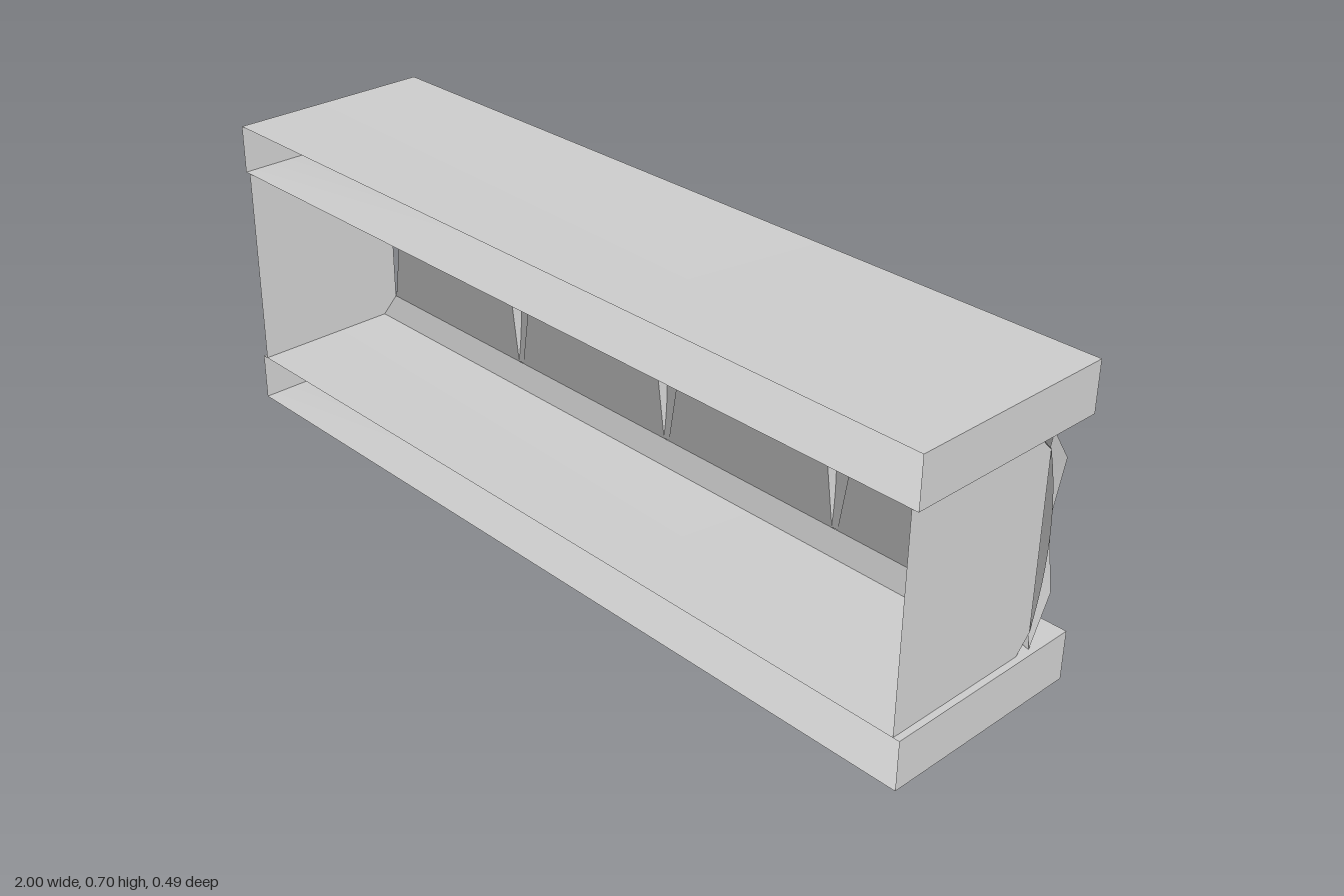
import * as THREE from 'three';

const MAT = new THREE.MeshStandardMaterial({ color: 0xcccccc, side: THREE.DoubleSide });
const MID = 0.351, WALL_Z = -0.143, END_X = 0.985;

function add(parent, name, geometry) {
  const mesh = new THREE.Mesh(geometry, MAT);
  mesh.name = name;
  parent.add(mesh);
  return mesh;
}

// Smooth sheet through a grid of points; at(u, v) returns [x, y, z]
function sheet(us, vs, at) {
  const pos = [], index = [], n = us.length;
  vs.forEach((v) => us.forEach((u) => pos.push(...at(u, v))));
  for (let j = 0; j < vs.length - 1; j++) {
    for (let i = 0; i < n - 1; i++) {
      const a = j * n + i;
      index.push(a, a + n, a + 1, a + 1, a + n, a + n + 1);
    }
  }
  const g = new THREE.BufferGeometry();
  g.setAttribute('position', new THREE.Float32BufferAttribute(pos, 3));
  g.setIndex(index);
  g.computeVertexNormals();
  return g;
}

function polygon(points) {
  return new THREE.ShapeGeometry(new THREE.Shape(points.map((p) => new THREE.Vector2(...p))));
}

// Long channel, open to the front, with closed ends
function beam(name, y0, y1) {
  const group = new THREE.Group();
  group.name = name;
  const profile = [[y1, 0.247], [y1, -0.245], [y0, -0.245], [y0, 0.247]];
  add(group, name + 'Channel', sheet([-1, 1], profile, (u, p) => [u, ...p]));
  for (const s of [-1, 1]) {
    const end = add(group, name + 'End', new THREE.PlaneGeometry(0.492, y1 - y0));
    end.rotation.y = s * Math.PI / 2;
    end.position.set(s, (y0 + y1) / 2, 0.001);
  }
  return group;
}

// Cushion outline: edges are drawn in between the corners
const ROWS = [-1, -0.62, 0, 0.62, 1];
const COLS = Array.from({ length: 13 }, (_, i) => i / 6 - 1);
const edgeX = (u, v) => u * (0.245 - 0.035 * (1 - Math.abs(v)));
const edgeY = (u, v) => MID + v * (0.239 - 0.04 * (1 - u * u));

function cushion(x) {
  const group = new THREE.Group();
  group.name = 'cushion';
  group.position.x = x;
  const depth = (u, v) => {
    if (Math.abs(v) === 1) return WALL_Z;
    return -0.215 - (v === 0 ? 0.032 * (1 - Math.abs(u) ** 1.5) : 0);
  };
  add(group, 'cushionFace', sheet(COLS, ROWS, (u, v) => [edgeX(u, v), edgeY(u, v), depth(u, v)]));
  // Flat flanks from the ridge back to the wall
  for (const s of [-1, 1]) {
    add(group, 'cushionFlank', sheet([0, 1], ROWS, (t, v) =>
      [edgeX(s, v), edgeY(s, v), t ? depth(s, v) : WALL_Z]));
  }
  // Inner wall panel, narrowest at mid height
  const panel = add(group, 'wallPanel', polygon([
    [-0.24, 0.15], [0.24, 0.15], [0.21, MID], [0.24, 0.552], [-0.24, 0.552], [-0.21, MID],
  ]));
  panel.position.z = WALL_Z;
  return group;
}

export function createModel() {
  const model = new THREE.Group();
  model.name = 'cushionedBox';
  model.add(beam('bottomBeam', 0, 0.112), beam('topBeam', 0.59, 0.702));

  // End plates with bevelled rear corners
  for (const s of [-1, 1]) {
    const plate = add(model, 'endPlate', polygon([
      [0.247, 0.112], [0.247, 0.59], [-0.103, 0.59], [WALL_Z, 0.55], [WALL_Z, 0.15], [-0.108, 0.112],
    ]));
    plate.rotation.y = -Math.PI / 2;
    plate.position.x = s * END_X;
  }

  // Sloping strips joining the wall to the beams
  for (const [name, edge, inner] of [['lowerBevel', 0.112, 0.15], ['upperBevel', 0.59, 0.552]]) {
    add(model, name, sheet([-END_X, END_X], [0, 1], (x, t) =>
      [x, t ? inner : edge, t ? WALL_Z : -0.105]));
  }

  for (const x of [-0.75, -0.25, 0.25, 0.75]) model.add(cushion(x * 0.99));

  // Hollow seams behind the gaps between wall panels
  for (const x of [-0.98, -0.495, 0, 0.495, 0.98]) {
    const clamp = (v) => Math.max(-END_X, Math.min(END_X, v));
    add(model, 'seam', sheet([-1, 1], COLS, (u, v) => [
      clamp(x + u * (0.012 + 0.03 * (1 - Math.abs(v)))), MID + v * 0.2, WALL_Z - 0.03 * (1 - v * v),
    ]));
  }
  return model;
}
